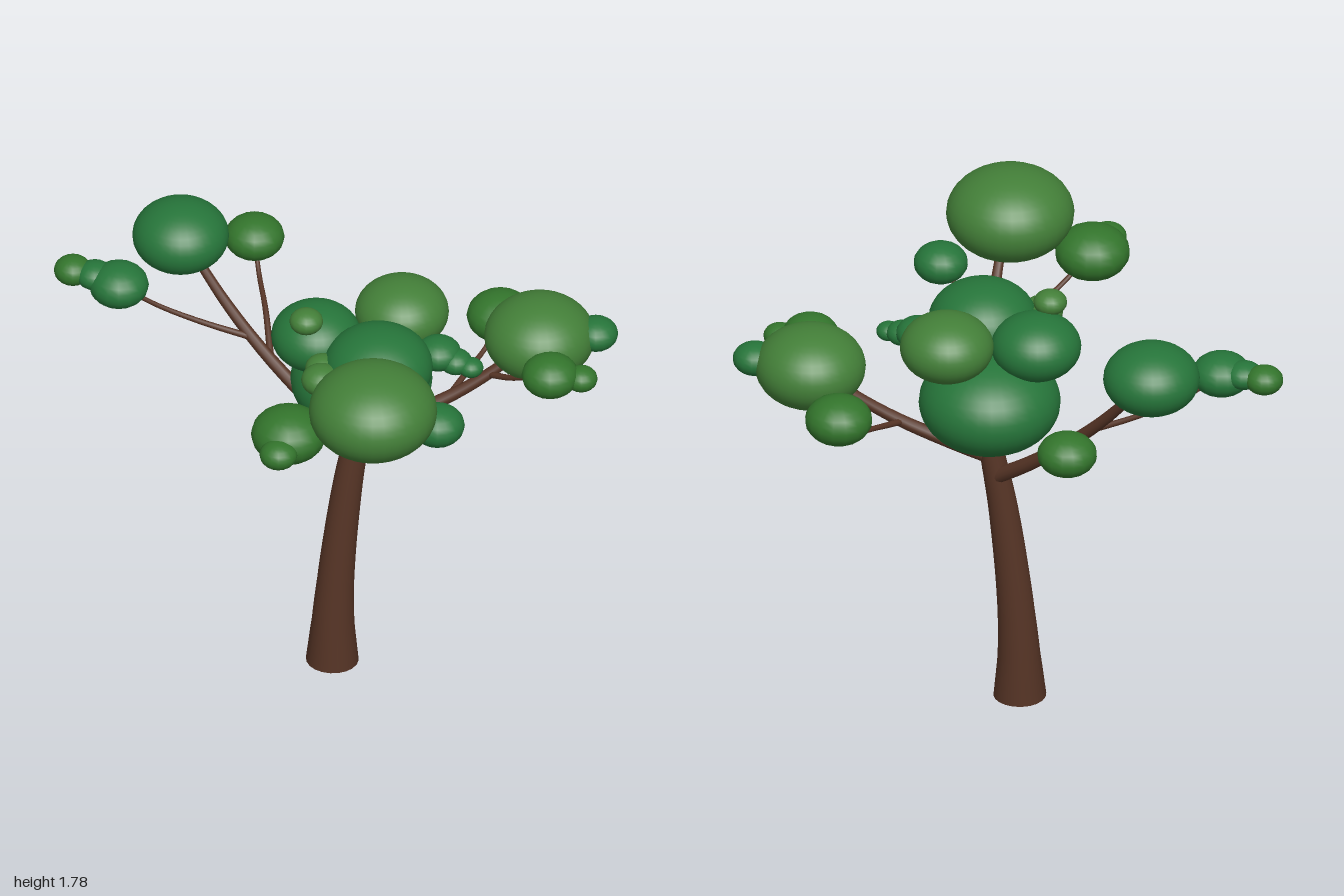
import * as THREE from 'three';

const bark = new THREE.MeshStandardMaterial({ color: 0x573526 });
const leafLight = new THREE.MeshStandardMaterial({ color: 0x437f38 });
const leafDeep = new THREE.MeshStandardMaterial({ color: 0x26753a });
const leafDark = new THREE.MeshStandardMaterial({ color: 0x33752c });

// Tapered limb: a tube along a smooth path, with radii spread evenly along it
function limb(name, points, radii, steps = 16, sides = 12) {
  const path = new THREE.CatmullRomCurve3(points.map((p) => new THREE.Vector3(...p)));
  const geo = new THREE.TubeGeometry(path, steps, 1, sides, false);
  const pos = geo.attributes.position;
  const v = new THREE.Vector3();
  for (let i = 0; i <= steps; i++) {
    const t = i / steps;
    const centre = path.getPointAt(t);
    const k = Math.min(Math.floor(t * (radii.length - 1)), radii.length - 2);
    const r = THREE.MathUtils.lerp(radii[k], radii[k + 1], t * (radii.length - 1) - k);
    for (let j = 0; j <= sides; j++) {
      const n = i * (sides + 1) + j;
      v.fromBufferAttribute(pos, n).sub(centre).multiplyScalar(r).add(centre);
      pos.setXYZ(n, v.x, Math.max(v.y, 0), v.z);
    }
  }
  geo.computeBoundingSphere();
  const mesh = new THREE.Mesh(geo, bark);
  mesh.name = name;
  return mesh;
}

// Flattened leaf ball; small ones have fewer sides
function leafBall(name, [x, y, z, r, ry], material) {
  const geo = r > 0.15 ? new THREE.SphereGeometry(1, 32, 20) : new THREE.SphereGeometry(1, 16, 12);
  const mesh = new THREE.Mesh(geo, material);
  mesh.name = name;
  mesh.position.set(x, y, z);
  mesh.scale.set(r, ry, r);
  return mesh;
}

export function createModel() {
  const tree = new THREE.Group();
  tree.name = 'tree';

  // Trunk, flared at the foot and leaning, with a closed underside
  tree.add(limb('trunk',
    [[0.05, 0, -0.108], [0.052, 0.2, -0.113], [0.065, 0.45, -0.125], [0.098, 0.8, -0.15], [0.135, 1.06, -0.175], [0.15, 1.22, -0.18]],
    [0.097, 0.078, 0.068, 0.062, 0.057, 0.051, 0.044, 0.036], 28, 20));
  const foot = new THREE.Mesh(new THREE.CircleGeometry(0.097, 20), bark);
  foot.name = 'trunkUnderside';
  foot.rotation.x = Math.PI / 2;
  foot.position.set(0.05, 0, -0.108);
  tree.add(foot);

  // Three main branches and the stubs inside the crown
  const branches = {
    leftBranch: [[0.12, 0.92, -0.175], [-0.04, 1.03, -0.195], [-0.25, 1.2, -0.215], [-0.42, 1.365, -0.24], [-0.62, 1.6, -0.28]],
    rightBranch: [[0.125, 1.0, -0.17], [0.22, 1.035, -0.215], [0.43, 1.14, -0.33], [0.58, 1.25, -0.42], [0.7, 1.37, -0.5]],
    frontBranch: [[0.14, 1.1, -0.17], [0.24, 1.2, 0.02], [0.33, 1.29, 0.17], [0.43, 1.42, 0.34], [0.465, 1.6, 0.48]],
    upperLeftBranch: [[0.14, 1.15, -0.18], [0.08, 1.3, -0.14], [0.0, 1.45, -0.08]],
    upperRearBranch: [[0.14, 1.15, -0.18], [0.2, 1.32, -0.24], [0.245, 1.48, -0.3]],
  };
  for (const [name, points] of Object.entries(branches)) {
    tree.add(limb(name, points, [0.03, 0.025, 0.021, 0.015]));
  }

  // Thin twigs out to the side clusters
  const twigs = {
    leftFrontTwig: [[-0.31, 1.26, -0.225], [-0.48, 1.335, -0.145], [-0.63, 1.42, -0.07], [-0.75, 1.52, 0]],
    leftRearTwig: [[-0.24, 1.2, -0.215], [-0.33, 1.28, -0.38], [-0.42, 1.32, -0.53], [-0.48, 1.4, -0.63]],
    rightRearTwig: [[0.42, 1.135, -0.325], [0.44, 1.17, -0.47], [0.46, 1.2, -0.58], [0.48, 1.29, -0.67]],
    rightFrontTwig: [[0.54, 1.22, -0.4], [0.66, 1.26, -0.36], [0.83, 1.36, -0.3]],
    frontRightTwig: [[0.31, 1.27, 0.13], [0.46, 1.35, 0.21], [0.63, 1.45, 0.275]],
    frontLeftTwig: [[0.31, 1.27, 0.14], [0.26, 1.34, 0.32], [0.22, 1.4, 0.45], [0.17, 1.49, 0.58]],
  };
  for (const [name, points] of Object.entries(twigs)) {
    tree.add(limb(name, points, [0.013, 0.01, 0.008], 12, 8));
  }

  // Leaf clusters: x, y, z, radius, half height
  const clusters = [
    ['crownLeaves', leafDeep, [
      [0.135, 1.235, -0.18, 0.26, 0.185], [0.28, 1.445, 0.005, 0.2, 0.15], [0, 1.455, -0.075, 0.165, 0.122]]],
    ['crownTopLeaves', leafLight, [
      [0.245, 1.485, -0.3, 0.172, 0.125], [0.005, 1.588, 0.03, 0.062, 0.046],
      [0.1, 1.45, 0.1, 0.065, 0.05], [0.125, 1.45, 0.17, 0.075, 0.056]]],
    ['crownSideLeaves', leafDeep, [
      [0.44, 1.43, -0.18, 0.085, 0.06], [0.51, 1.41, -0.18, 0.06, 0.045], [0.57, 1.4, -0.18, 0.046, 0.035]]],
    ['frontLeaves', leafLight, [[0.465, 1.613, 0.49, 0.235, 0.168]]],
    ['frontLeftLeaves', leafDark, [[0.17, 1.49, 0.585, 0.138, 0.1], [0.185, 1.487, 0.715, 0.07, 0.052]]],
    ['frontRightLeaves', leafDeep, [[0.63, 1.455, 0.275, 0.1, 0.075]]],
    ['leftLeaves', leafDeep, [
      [-0.625, 1.6, -0.28, 0.177, 0.13], [-0.752, 1.525, 0, 0.11, 0.08], [-0.845, 1.545, 0.005, 0.07, 0.05]]],
    ['leftTipLeaves', leafDark, [[-0.93, 1.547, 0.01, 0.07, 0.053]]],
    ['leftRearLeaves', leafDark, [[-0.48, 1.405, -0.63, 0.11, 0.08]]],
    ['rightLeaves', leafLight, [[0.705, 1.367, -0.505, 0.203, 0.15]]],
    ['rightRearLeaves', leafDark, [[0.478, 1.288, -0.673, 0.124, 0.09]]],
    ['rightFrontLeaves', leafDark, [[0.835, 1.362, -0.297, 0.105, 0.078], [0.94, 1.348, -0.34, 0.06, 0.046]]],
    ['rightTipLeaves', leafDeep, [[0.895, 1.38, -0.583, 0.082, 0.06]]],
  ];
  for (const [name, material, balls] of clusters) {
    const group = new THREE.Group();
    group.name = name;
    balls.forEach((ball, i) => group.add(leafBall(`leafBall${i + 1}`, ball, material)));
    tree.add(group);
  }
  return tree;
}
